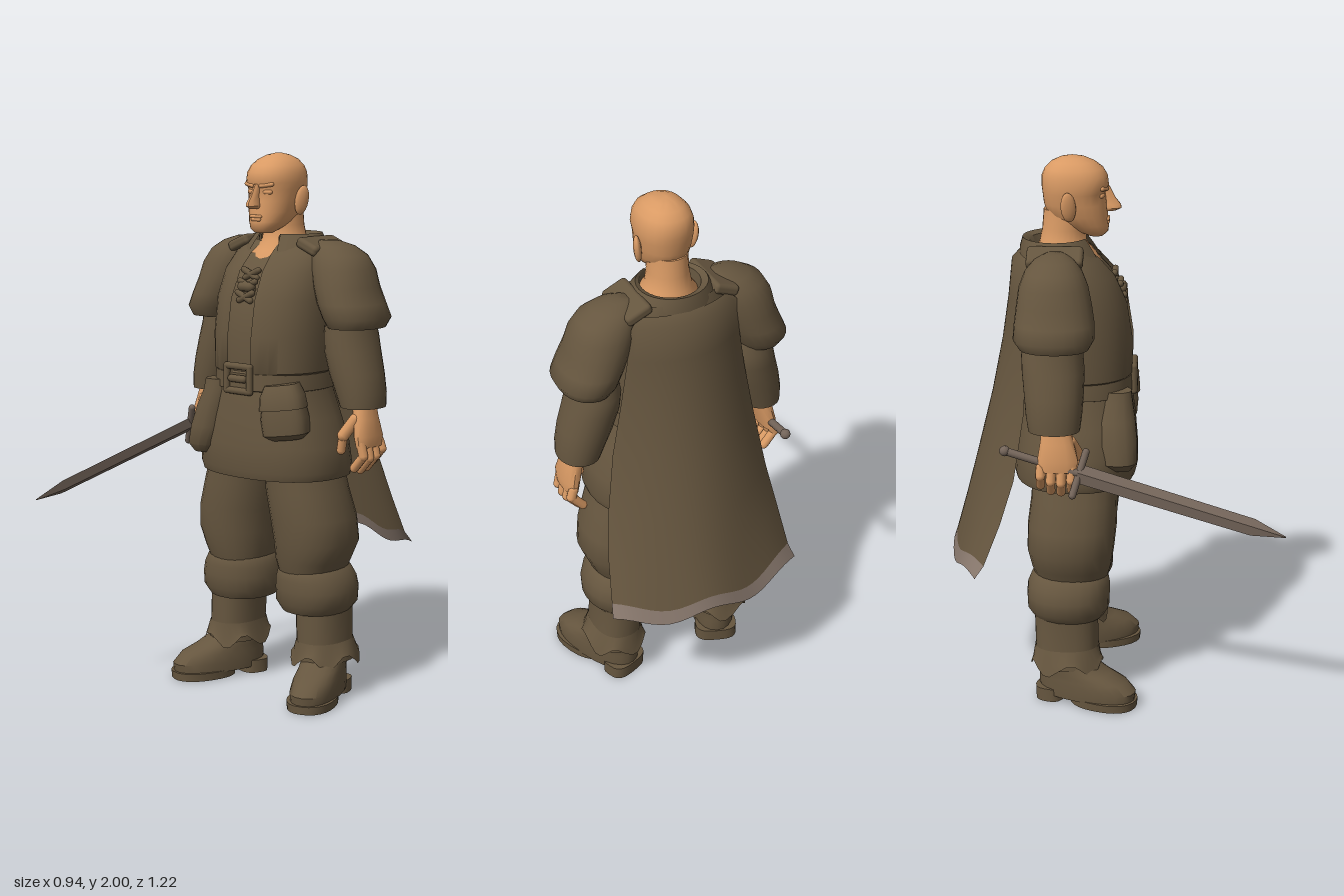
import * as THREE from 'three';
import { toCreasedNormals } from 'three/addons/utils/BufferGeometryUtils.js';
import { RoundedBoxGeometry } from 'three/addons/geometries/RoundedBoxGeometry.js';

const V = (x, y, z) => new THREE.Vector3(x, y, z);

export function createModel() {
  const mat = (name, color, side = THREE.FrontSide) => {
    const m = new THREE.MeshStandardMaterial({ color, side });
    m.name = name;
    return m;
  };
  const cloth = mat('brown cloth', 0x66563f, THREE.DoubleSide);
  const skin = mat('skin', 0xd99a64);
  const trim = mat('hem trim', 0x86766b, THREE.DoubleSide);
  const steel = mat('dull steel', 0x74655a);

  const root = new THREE.Group();
  root.name = 'swordsman';
  const body = new THREE.Group();
  body.name = 'body';
  body.position.x = 0.03;
  root.add(body);

  const add = (parent, name, geo, material) => {
    const m = new THREE.Mesh(geo, material);
    m.name = name;
    parent.add(m);
    return m;
  };

  // Surface through rows of points
  const grid = (rows, crease = 0.75) => {
    const n = rows[0].length, index = [];
    for (let j = 0; j < rows.length - 1; j++) {
      for (let i = 0; i < n - 1; i++) {
        const a = j * n + i, b = a + n;
        index.push(a, b, a + 1, a + 1, b, b + 1);
      }
    }
    const g = new THREE.BufferGeometry().setFromPoints(rows.flat());
    g.setIndex(index);
    return toCreasedNormals(g, crease);
  };

  // Upright loft; each section is [y, xMin, xMax, zFront, zBack, wave], listed upwards
  const loft = (secs, { n = 24, power = 2.3, from = 0, to = Math.PI * 2, caps = true, crease } = {}) => {
    const rows = secs.map(([y, x0, x1, zf, zb, wave = 0]) => Array.from({ length: n + 1 }, (_, i) => {
      const a = from + (to - from) * i / n, c = Math.cos(a), s = Math.sin(a);
      const p = (v) => Math.sign(v) * Math.abs(v) ** (2 / power);
      return V((x0 + x1) / 2 + p(c) * (x1 - x0) / 2, y + wave * Math.sin(a * 5 + 1),
        (zf + zb) / 2 + p(s) * (zf - zb) / 2);
    }));
    if (caps) {
      const lid = ([y, x0, x1, zf, zb]) => Array.from({ length: n + 1 }, () => V((x0 + x1) / 2, y, (zf + zb) / 2));
      rows.unshift(lid(secs[0]));
      rows.push(lid(secs[secs.length - 1]));
    }
    return grid(rows, crease);
  };
  const sym = (secs) => secs.map(([y, r, zf, zb]) => [y, -r, r, zf, zb]);

  // Rounded rod between two points
  const rod = (parent, name, p, q, r, material) => {
    const a = V(...p), d = V(...q).sub(a);
    const m = add(parent, name, new THREE.CapsuleGeometry(r, d.length(), 4, 10), material);
    m.position.copy(a).addScaledVector(d, 0.5);
    m.quaternion.setFromUnitVectors(V(0, 1, 0), d.normalize());
    return m;
  };

  // Head and neck
  add(body, 'head', loft(sym([
    [1.715, 0.035, -0.045, -0.1], [1.73, 0.052, -0.028, -0.14], [1.755, 0.068, -0.026, -0.2],
    [1.79, 0.083, -0.03, -0.245], [1.83, 0.09, -0.032, -0.257], [1.87, 0.097, -0.038, -0.262],
    [1.895, 0.1, -0.026, -0.265], [1.93, 0.096, -0.03, -0.264], [1.955, 0.086, -0.045, -0.253],
    [1.978, 0.064, -0.075, -0.23], [1.993, 0.037, -0.11, -0.198], [2, 0.008, -0.145, -0.165],
  ]), { power: 2.2, crease: 1.2 }), skin);
  add(body, 'nose', loft(sym([
    [1.803, 0.014, 0, -0.05], [1.813, 0.021, 0.02, -0.05], [1.825, 0.017, 0.018, -0.05],
    [1.85, 0.011, -0.002, -0.05], [1.89, 0.01, -0.022, -0.06],
  ]), { n: 10, power: 2 }), skin);
  add(body, 'neck', loft(sym([
    [1.6, 0.13, -0.04, -0.3], [1.65, 0.11, -0.07, -0.295], [1.69, 0.08, -0.105, -0.275],
    [1.74, 0.072, -0.11, -0.264], [1.81, 0.07, -0.1, -0.258],
  ]), { power: 2 }), skin);
  rod(body, 'upperLip', [-0.022, 1.775, -0.029], [0.022, 1.775, -0.029], 0.006, skin);
  rod(body, 'lowerLip', [-0.016, 1.764, -0.03], [0.016, 1.764, -0.03], 0.007, skin);

  // Torso: shirt below an open vest, standing collar open at the front
  const chest = [
    [1.17, 0.19, 0.045, -0.32], [1.22, 0.2, 0.05, -0.325], [1.35, 0.205, 0.05, -0.34],
    [1.48, 0.205, 0.03, -0.345], [1.58, 0.195, -0.015, -0.34], [1.64, 0.175, -0.07, -0.33],
    [1.685, 0.135, -0.13, -0.315],
  ];
  add(body, 'shirt', loft(sym(chest.slice(0, 6)), { n: 32, caps: false }), cloth);
  const vest = sym([[1.195, 0.19, 0.045, -0.32], ...chest.slice(1).map(([y, r, f, b]) =>
    [y, r + 0.02, f + 0.014, b - 0.014])]);
  add(body, 'vest', loft(vest, {
    n: 36, from: Math.PI / 2 + 0.2, to: Math.PI * 2.5 - 0.2, caps: false }), cloth);
  add(body, 'collar', loft(sym([
    [1.62, 0.185, -0.04, -0.35], [1.675, 0.15, -0.075, -0.345], [1.71, 0.125, -0.1, -0.335],
    [1.7, 0.105, -0.1, -0.31], [1.66, 0.1, -0.1, -0.29],
  ]), { n: 28, power: 2, from: Math.PI / 2 + 0.4, to: Math.PI * 2.5 - 0.4, caps: false }), cloth);
  for (const [y, z] of [[1.49, 0.03], [1.53, 0.016], [1.57, -0.004]]) {
    for (const s of [-1, 1]) rod(body, 'lace', [-0.026 * s, y - 0.014, z], [0.034 * s, y + 0.014, z], 0.012, cloth);
  }
  rod(body, 'laceKnot', [-0.02, 1.525, 0.022], [0.02, 1.525, 0.022], 0.018, cloth);

  // Tunic skirt, belt and buckle
  add(body, 'tunicSkirt', loft(sym([
    [0.85, 0.27, 0.05, -0.34], [0.832, 0.29, 0.072, -0.37], [0.86, 0.298, 0.08, -0.375], [0.95, 0.285, 0.08, -0.368],
    [1.05, 0.25, 0.072, -0.35], [1.14, 0.215, 0.06, -0.335], [1.21, 0.2, 0.05, -0.325],
  ]), { n: 32 }), cloth);
  add(body, 'belt', loft(sym([
    [1.15, 0.205, 0.055, -0.33], [1.155, 0.218, 0.066, -0.345], [1.215, 0.212, 0.064, -0.342], [1.22, 0.195, 0.05, -0.33],
  ]), { n: 32 }), cloth);
  for (const s of [-1, 1]) {
    rod(body, 'buckleBar', [-0.055, 1.195 + 0.045 * s, 0.066], [0.055, 1.195 + 0.045 * s, 0.066], 0.013, cloth);
    rod(body, 'buckleSide', [0.055 * s, 1.15, 0.066], [0.055 * s, 1.24, 0.066], 0.013, cloth);
  }
  rod(body, 'buckleTongue', [-0.03, 1.195, 0.07], [0.03, 1.195, 0.07], 0.014, cloth);

  // Belt pouch and drooping sack
  const pouch = new THREE.Group();
  pouch.name = 'pouch';
  pouch.position.set(0.168, 1.085, 0.005);
  pouch.rotation.set(0, 0.4, 0.12);
  body.add(pouch);
  add(pouch, 'pouchBag', loft(sym([
    [-0.1, 0.06, 0.04, -0.05], [-0.08, 0.084, 0.062, -0.06], [-0.02, 0.086, 0.064, -0.06],
    [0.05, 0.072, 0.054, -0.06], [0.1, 0.055, 0.04, -0.06]]), { n: 20, power: 3 }), cloth);
  add(pouch, 'pouchFlap', loft(sym([
    [0.012, 0.086, 0.07, -0.06], [0.06, 0.08, 0.066, -0.06], [0.1, 0.06, 0.045, -0.06]]), { n: 20, power: 3 }), cloth);
  add(body, 'sack', loft([
    [0.9, -0.24, -0.17, 0.06, -0.01], [0.93, -0.268, -0.135, 0.083, -0.06], [1, -0.258, -0.11, 0.083, -0.08],
    [1.08, -0.23, -0.095, 0.075, -0.08], [1.14, -0.2, -0.09, 0.065, -0.06], [1.18, -0.19, -0.1, 0.06, -0.05],
  ], { n: 14 }), cloth);

  // Paired parts, built on the left and mirrored
  for (const s of [1, -1]) {
    const side = new THREE.Group();
    side.name = s > 0 ? 'leftSide' : 'rightSide';
    side.scale.x = s;
    body.add(side);

    const ear = add(side, 'ear', new THREE.SphereGeometry(1, 12, 10), skin);
    ear.scale.set(0.014, 0.054, 0.028);
    ear.position.set(0.102, 1.832, -0.165);
    ear.rotation.set(-0.15, -0.35, -0.15);
    rod(side, 'brow', [0.02, 1.884, -0.034], [0.06, 1.89, -0.048], 0.008, skin);
    rod(side, 'eyelid', [0.03, 1.862, -0.047], [0.048, 1.862, -0.053], 0.009, skin);

    const strap = add(side, 'shoulderStrap', new RoundedBoxGeometry(0.1, 0.04, 0.2, 2, 0.015), cloth);
    strap.position.set(0.165, 1.668, -0.21);
    strap.rotation.z = -0.4;

    // Short sleeve over the long sleeve
    add(side, 'shortSleeve', loft([
      [1.405, 0.26, 0.4, -0.11, -0.29], [1.385, 0.24, 0.42, -0.085, -0.325], [1.42, 0.22, 0.437, -0.065, -0.348],
      [1.47, 0.195, 0.415, -0.065, -0.345], [1.53, 0.17, 0.39, -0.075, -0.338], [1.59, 0.15, 0.375, -0.088, -0.33],
      [1.64, 0.14, 0.345, -0.11, -0.31], [1.672, 0.14, 0.295, -0.14, -0.28], [1.69, 0.16, 0.235, -0.175, -0.24],
    ], { power: 2.1, crease: 1 }), cloth);
    add(side, 'longSleeve', loft([
      [1.12, 0.31, 0.42, -0.13, -0.28], [1.1, 0.285, 0.437, -0.115, -0.297], [1.15, 0.265, 0.437, -0.108, -0.305],
      [1.22, 0.235, 0.425, -0.103, -0.312], [1.3, 0.212, 0.403, -0.1, -0.32], [1.36, 0.208, 0.388, -0.105, -0.322],
      [1.43, 0.22, 0.375, -0.11, -0.3],
    ], { power: 2.1 }), cloth);

    // Hand with curled fingers
    add(side, 'palm', loft([
      [0.96, 0.375, 0.425, -0.125, -0.265], [1, 0.365, 0.428, -0.12, -0.265],
      [1.06, 0.35, 0.415, -0.135, -0.255], [1.14, 0.335, 0.4, -0.155, -0.245],
    ], { n: 14 }), skin);
    for (let i = 0; i < 4; i++) {
      const z = -0.143 - 0.036 * i, drop = [0.01, 0, 0.005, 0.025][i];
      rod(side, 'fingerBase', [0.402, 0.975, z], [0.412, 0.92 + drop, z - 0.002], 0.018, skin);
      rod(side, 'fingerTip', [0.412, 0.92 + drop, z - 0.002], [0.37, 0.872 + drop, z - 0.004], 0.0165, skin);
    }
    rod(side, 'thumbBase', [0.37, 1.06, -0.15], [0.335, 1, -0.125], 0.022, skin);
    rod(side, 'thumbTip', [0.335, 1, -0.125], [0.322, 0.945, -0.13], 0.017, skin);

    // Baggy trousers, padded cuff, boot with a ragged ankle flap
    add(side, 'trouserLeg', loft([
      [0.46, 0.06, 0.28, -0.03, -0.285], [0.52, 0.045, 0.305, -0.012, -0.305], [0.59, 0.036, 0.335, -0.002, -0.32],
      [0.68, 0.025, 0.325, 0.008, -0.318], [0.78, 0.008, 0.295, 0.01, -0.305], [0.95, 0, 0.24, 0.01, -0.3],
    ], { power: 2.2 }), cloth);
    add(side, 'cuff', loft([
      [0.345, 0.1, 0.28, -0.07, -0.28], [0.325, 0.06, 0.3, -0.04, -0.3], [0.36, 0.036, 0.327, -0.02, -0.322],
      [0.41, 0.034, 0.33, -0.018, -0.324], [0.45, 0.038, 0.32, -0.018, -0.32], [0.485, 0.05, 0.3, -0.025, -0.305],
      [0.51, 0.08, 0.27, -0.05, -0.28],
    ], { power: 2.2 }), cloth);
    add(side, 'bootShaft', loft([
      [0.14, 0.125, 0.315, -0.06, -0.295], [0.22, 0.128, 0.303, -0.06, -0.292], [0.36, 0.12, 0.3, -0.06, -0.295],
    ]), cloth);
    add(side, 'ankleFlap', loft([
      [0.145, 0.105, 0.335, -0.04, -0.31, 0.025], [0.17, 0.115, 0.325, -0.05, -0.302, 0.012],
      [0.215, 0.126, 0.305, -0.058, -0.294],
    ], { n: 30, caps: false }), cloth);
    const foot = new THREE.Group();
    foot.name = 'foot';
    foot.position.set(0.25, 0, -0.1);
    foot.rotation.y = 0.36;
    side.add(foot);
    add(foot, 'shoe', loft(sym([
      [0.025, 0.084, 0.186, -0.185], [0.06, 0.086, 0.19, -0.188], [0.095, 0.082, 0.155, -0.186],
      [0.12, 0.079, 0.09, -0.184], [0.15, 0.08, 0.03, -0.184], [0.19, 0.08, 0, -0.18],
    ])), cloth);
    add(foot, 'sole', loft(sym([[0, 0.086, 0.193, -0.06], [0.03, 0.088, 0.195, -0.06]])), cloth);
    add(foot, 'heel', loft(sym([[0, 0.08, -0.08, -0.19], [0.05, 0.08, -0.08, -0.192]]), { power: 3 }), cloth);
  }

  // Cape rows: [y, half width, z at middle, z at edge, hem wave]
  const capeRow = ([y, w, zm, ze, wave]) => Array.from({ length: 25 }, (_, i) => {
    const u = i / 12 - 1;
    return V(w * u, y + wave * Math.sin(u * 7 + 1), ze + (zm - ze) * (1 - u * u));
  });
  const hemTop = [0.575, 0.364, -0.598, -0.465, 0.016];
  add(body, 'cape', grid([
    [1.66, 0.17, -0.345, -0.3, 0], [1.63, 0.2, -0.374, -0.31, 0], [1.5, 0.215, -0.388, -0.308, 0],
    [1.34, 0.24, -0.412, -0.31, 0], [1.13, 0.28, -0.455, -0.318, 0],
    [0.89, 0.32, -0.515, -0.355, 0.003], [0.73, 0.345, -0.556, -0.405, 0.008], hemTop,
  ].map(capeRow)), cloth);
  add(body, 'capeHem', grid([hemTop, [0.53, 0.376, -0.612, -0.497, 0.018]].map(capeRow)), trim);

  // Sword held low in the right hand, pointing forward
  const sword = new THREE.Group();
  sword.name = 'sword';
  const pommel = V(-0.35, 1.03, -0.39), tip = V(-0.47, 0.762, 0.605);
  const along = tip.clone().sub(pommel), len = along.length();
  along.normalize();
  const flat = V(0.41, 0.91, 0).cross(along).normalize();
  const wide = along.clone().cross(flat).normalize();
  sword.quaternion.setFromRotationMatrix(new THREE.Matrix4().makeBasis(wide, along, flat));
  sword.position.copy(pommel);
  root.add(sword);
  add(sword, 'blade', loft(sym([
    [0.28, 0.034, 0.018, -0.018], [len - 0.12, 0.03, 0.016, -0.016], [len, 0.002, 0.002, -0.002],
  ]), { n: 4, power: 2, crease: 0.2 }), steel);
  rod(sword, 'grip', [0, 0.02, 0], [0, 0.28, 0], 0.014, steel);
  rod(sword, 'guard', [-0.08, 0.285, 0], [0.08, 0.285, 0], 0.013, steel);
  add(sword, 'pommel', new THREE.SphereGeometry(0.019, 12, 8), steel).position.y = 0.012;

  return root;
}
